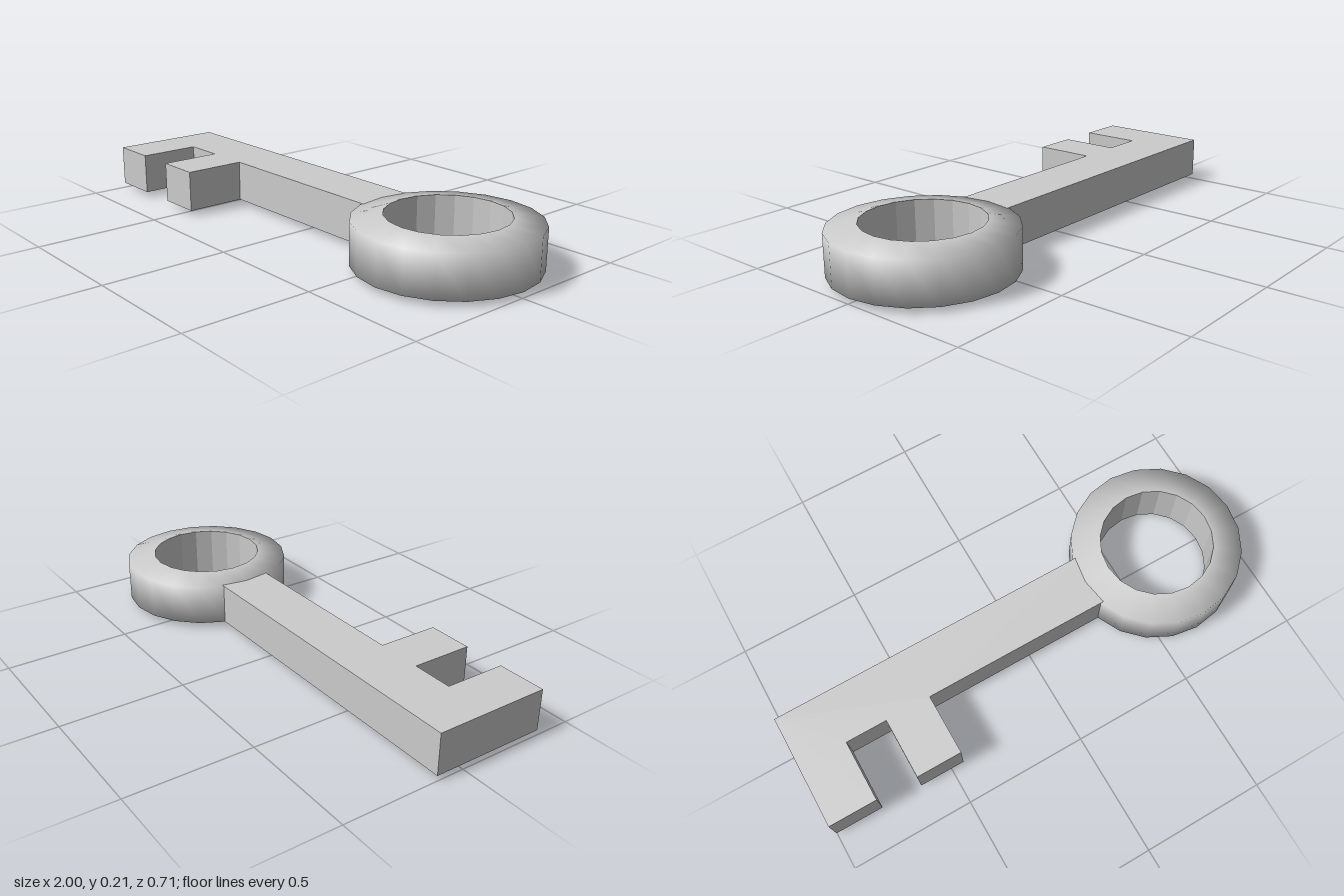
import * as THREE from 'three';

const SIDES = 20;

// Revolves a list of [radius, height] points about the vertical axis
function revolve(points) {
  return new THREE.LatheGeometry(points.map(([r, y]) => new THREE.Vector2(r, y)), SIDES);
}

export function createModel() {
  const model = new THREE.Group();
  model.name = 'key';
  const smooth = new THREE.MeshStandardMaterial({ color: 0xcccccc });
  const flat = new THREE.MeshStandardMaterial({ color: 0xcccccc, flatShading: true });

  // Shaft with its two teeth: one outline in [x, z], raised to full thickness
  const outline = [
    [-1, -0.115], [0.37, -0.115], [0.37, 0.102], [-0.447, 0.102],
    [-0.447, 0.352], [-0.634, 0.352], [-0.634, 0.102],
    [-0.803, 0.102], [-0.803, 0.352], [-1, 0.352],
  ];
  const shape = new THREE.Shape(outline.map(([x, z]) => new THREE.Vector2(x, -z)));
  const shaftGeometry = new THREE.ExtrudeGeometry(shape, { depth: 0.166, bevelEnabled: false });
  shaftGeometry.rotateX(-Math.PI / 2).translate(0, 0.021, 0);
  const shaft = new THREE.Mesh(shaftGeometry, flat);
  shaft.name = 'shaftAndTeeth';

  // Ring handle: smooth bevelled outside, faceted hole
  const bow = new THREE.Group();
  bow.name = 'ringHandle';
  bow.position.set(0.653, 0, -0.006);
  const outer = new THREE.Mesh(
    revolve([[0.229, 0], [0.347, 0.021], [0.347, 0.185], [0.229, 0.206]]), smooth);
  outer.name = 'ringOutside';
  const hole = new THREE.Mesh(revolve([[0.229, 0.206], [0.229, 0]]), flat);
  hole.name = 'ringHoleWall';
  bow.add(outer, hole);

  model.add(shaft, bow);
  return model;
}
